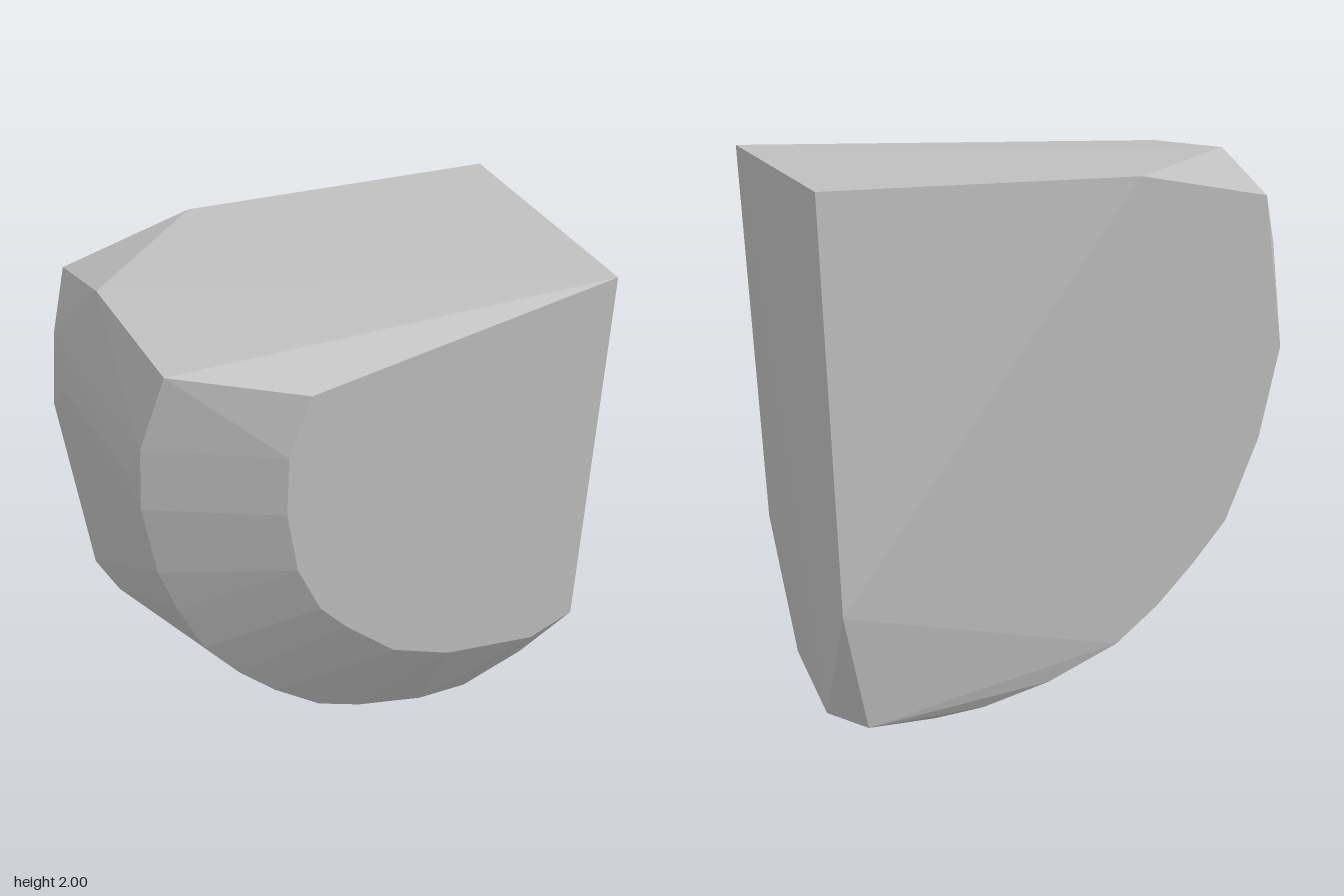
import * as THREE from 'three';
import { ConvexGeometry } from 'three/addons/geometries/ConvexGeometry.js';

export function createModel() {
  const group = new THREE.Group();
  const stone = new THREE.MeshStandardMaterial({ color: 0xbfbfbf });
  stone.name = 'plain grey';

  const points = [];
  const add = (list, z) => list.forEach(([x, y, pz = z]) => points.push(new THREE.Vector3(x, y, pz)));

  // Flat front face
  add([[0.88, 2], [-0.34, 1.87], [-0.43, 1.64], [-0.44, 1.4], [-0.4, 1.14], [-0.31, 0.93],
    [-0.2, 0.8], [0, 0.61], [0.24, 0.5], [0.62, 0.43], [0.8, 0.49]], 0.575);

  // Rounded rim behind the front bevel
  add([[-0.78, 1.94, 0.34], [-0.87, 1.65], [-0.88, 1.4], [-0.83, 1.1], [-0.76, 0.9], [-0.66, 0.68],
    [-0.52, 0.5], [-0.37, 0.35], [-0.18, 0.2], [0, 0.12], [0.28, 0.04], [0.5, 0.005, 0.29],
    [0.8, 0.03, 0.24]], 0.31);

  // Outermost points of the curved side
  add([[-0.885, 1.5, 0.2], [-0.885, 1.5, -0.38], [-0.87, 1.68, -0.48],
    [-0.82, 0.68, -0.36], [-0.77, 0.6, -0.25]], 0);

  // Back face and its rounded rim
  add([[-0.27, 2], [-0.78, 1.89], [-0.86, 1.31], [-0.78, 0.96], [-0.65, 0.65], [-0.52, 0.5],
    [-0.37, 0.35], [-0.2, 0.22], [0.07, 0.1, -0.55], [0.32, 0.03, -0.52],
    [0.5, 0, -0.48], [0.78, 0.04, -0.54], [0.88, 0.5]], -0.575);

  // Top and flat side corners
  add([[0.88, 2, -0.385], [-0.8, 2, -0.19], [0.88, 0.04, -0.36]], 0);

  const block = new THREE.Mesh(new ConvexGeometry(points), stone);
  block.name = 'facetedBlock';
  group.add(block);
  return group;
}
